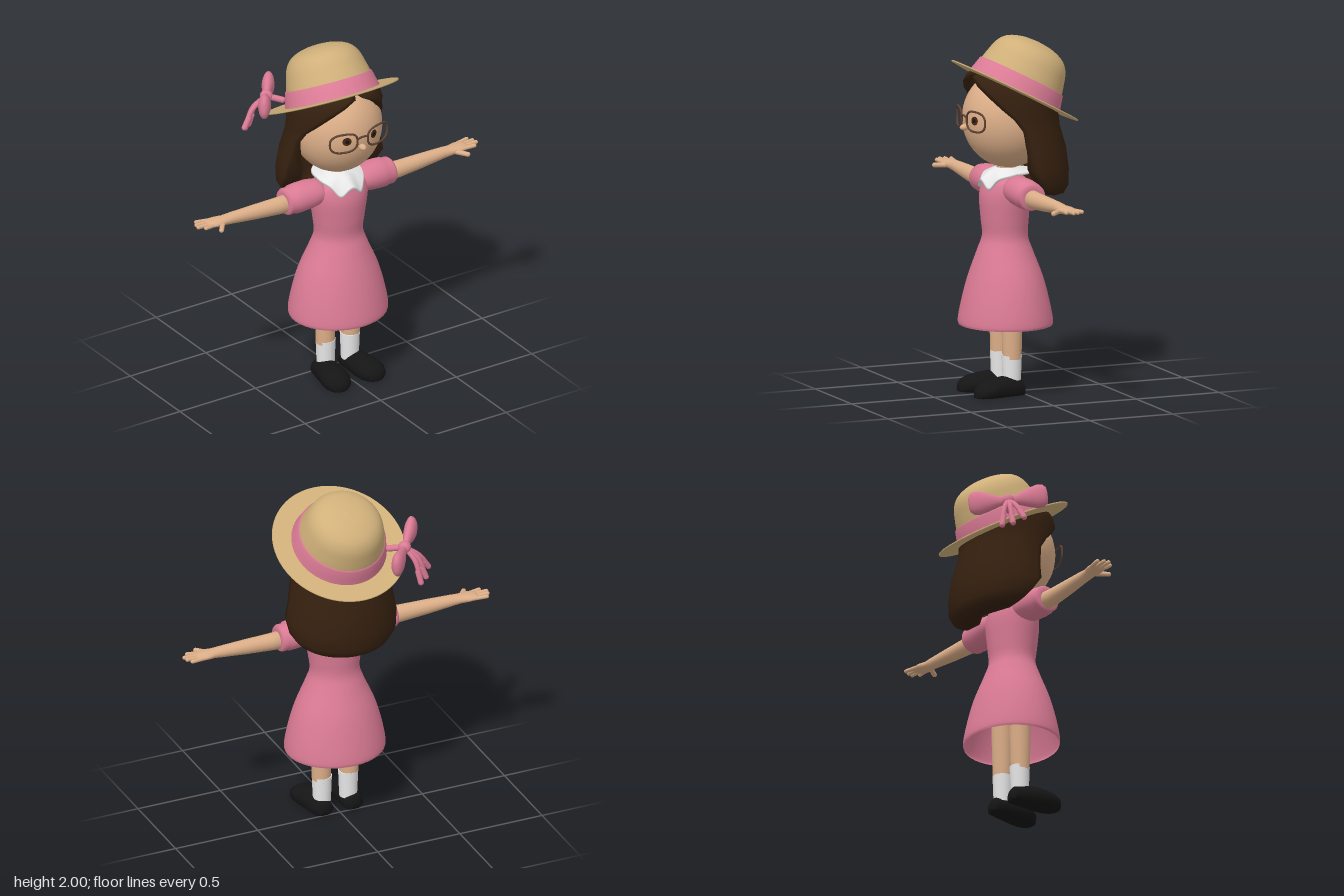
import * as THREE from 'three';

const mat = (name, color, side = THREE.FrontSide) => {
  const m = new THREE.MeshStandardMaterial({ color, side });
  m.name = name;
  return m;
};
const V = (x, y, z) => new THREE.Vector3(x, y, z);

// Skin a stack of closed rings (arrays of Vector3), optionally capping the ends.
function loft(rings, caps = true) {
  const n = rings[0].length, pts = rings.flat(), idx = [];
  for (let i = 0; i < rings.length - 1; i++) {
    for (let j = 0; j < n; j++) {
      const k = (j + 1) % n, a = i * n + j, b = i * n + k, c = a + n, d = b + n;
      idx.push(a, b, c, b, d, c);
    }
  }
  if (caps) {
    [[0, true], [rings.length - 1, false]].forEach(([r, flip]) => {
      const centre = rings[r].reduce((s, p) => s.add(p), V(0, 0, 0)).divideScalar(n);
      const ci = pts.push(centre) - 1;
      for (let j = 0; j < n; j++) {
        const a = r * n + j, b = r * n + (j + 1) % n;
        flip ? idx.push(ci, b, a) : idx.push(ci, a, b);
      }
    });
  }
  const g = new THREE.BufferGeometry().setFromPoints(pts);
  g.setIndex(idx);
  g.computeVertexNormals();
  return g;
}

const ring = (n, f) => Array.from({ length: n }, (_, j) => f(j / n * Math.PI * 2));

// Rows of [y, rx, centreZ, rz] stacked upwards, smoothed between rows.
function upright(rows, steps) {
  const a = new THREE.CatmullRomCurve3(rows.map(r => V(r[1], r[0], r[2])));
  const b = new THREE.CatmullRomCurve3(rows.map(r => V(r[3], r[0], 0)));
  return Array.from({ length: steps + 1 }, (_, i) => {
    const p = a.getPoint(i / steps), q = b.getPoint(i / steps);
    return ring(40, t => V(p.x * Math.sin(t), p.y, p.z + q.x * Math.cos(t)));
  });
}

// Rows of [x, centreY, centreZ, ry, rz] running along +x.
const sideways = rows => loft(rows.map(([x, y, z, ry, rz]) =>
  ring(24, t => V(x, y + ry * Math.cos(t), z + rz * Math.sin(t)))));

// Mirrored copy across x = 0 with the winding kept outward.
function mirrorX(geo) {
  const g = geo.clone().scale(-1, 1, 1), ix = g.index.array;
  for (let i = 0; i < ix.length; i += 3) [ix[i], ix[i + 1]] = [ix[i + 1], ix[i]];
  g.computeVertexNormals();
  return g;
}

// Capsule from p to q.
function capsule(p, q, r) {
  const d = q.clone().sub(p), g = new THREE.CapsuleGeometry(r, d.length(), 6, 12);
  g.applyQuaternion(new THREE.Quaternion().setFromUnitVectors(V(0, 1, 0), d.normalize()));
  const m = p.clone().add(q).multiplyScalar(0.5);
  return g.translate(m.x, m.y, m.z);
}

const ball = (x, y, z, rx, ry, rz) =>
  new THREE.SphereGeometry(1, 40, 28).scale(rx, ry, rz).translate(x, y, z);

export function createModel() {
  const model = new THREE.Group();
  model.name = 'girlInSunHat';
  const skin = mat('skin', 0xdcae88), pink = mat('pinkCloth', 0xdb7b95, THREE.DoubleSide);
  const straw = mat('straw', 0xd0b07a), brown = mat('hairBrown', 0x35200f);
  const white = mat('white', 0xe9e9e9, THREE.DoubleSide), black = mat('shoeBlack', 0x151515);
  const frame = mat('glassesBrown', 0x5e4232), iris = mat('eyeBrown', 0x4a2613);
  const add = (name, geo, m, parent = model) => {
    const mesh = new THREE.Mesh(geo, m);
    mesh.name = name;
    parent.add(mesh);
    return mesh;
  };
  const pair = (name, geo, m, parent = model) => {
    add(name + 'Left', geo, m, parent);
    add(name + 'Right', mirrorX(geo), m, parent);
  };

  // Dress, open at the hem
  add('dress', loft(upright([
    [0.385, 0.282, 0.07, 0.257], [0.4, 0.286, 0.07, 0.26], [0.5, 0.272, 0.07, 0.243], [0.65, 0.232, 0.07, 0.205],
    [0.8, 0.168, 0.073, 0.152], [0.88, 0.142, 0.073, 0.125], [0.98, 0.152, 0.075, 0.13], [1.1, 0.172, 0.075, 0.135],
    [1.16, 0.176, 0.072, 0.125], [1.2, 0.155, 0.07, 0.11], [1.235, 0.08, 0.065, 0.065],
  ], 44), false), pink);
  add('underwear', ball(0, 0.62, 0.067, 0.13, 0.08, 0.1), white);

  // Puffed sleeves with a cuff
  pair('sleeve', sideways([
    [0.1, 1.16, 0.065, 0.06, 0.075], [0.15, 1.16, 0.065, 0.072, 0.085], [0.2, 1.158, 0.065, 0.081, 0.09],
    [0.26, 1.155, 0.064, 0.084, 0.088], [0.3, 1.152, 0.062, 0.082, 0.086], [0.31, 1.15, 0.06, 0.075, 0.08],
    [0.34, 1.149, 0.06, 0.077, 0.081], [0.352, 1.148, 0.06, 0.07, 0.074], [0.352, 1.148, 0.06, 0.05, 0.05],
  ]), pink);

  // Arms, hands and fingers
  pair('arm', sideways([
    [0.3, 1.138, 0.06, 0.054, 0.05], [0.4, 1.138, 0.06, 0.049, 0.046], [0.55, 1.143, 0.058, 0.042, 0.041],
    [0.7, 1.149, 0.055, 0.032, 0.035], [0.75, 1.15, 0.055, 0.026, 0.037], [0.79, 1.152, 0.053, 0.023, 0.048],
    [0.835, 1.153, 0.05, 0.018, 0.048], [0.855, 1.153, 0.05, 0.01, 0.036],
  ]), skin);
  [[0.014, 0.003, 0.895], [0.038, 0.034, 0.913], [0.062, 0.062, 0.918], [0.084, 0.093, 0.888]].forEach(([z0, z1, x], i) =>
    pair('finger' + (i + 1), capsule(V(0.825, 1.153, z0), V(x, 1.156, z1), 0.0115), skin));
  pair('thumb', capsule(V(0.765, 1.147, 0.075), V(0.815, 1.142, 0.138), 0.014), skin);

  // Legs, socks and shoes
  pair('leg', new THREE.CylinderGeometry(0.064, 0.053, 0.45, 28).translate(0.083, 0.425, 0.067), skin);
  pair('sock', new THREE.CylinderGeometry(0.056, 0.05, 0.16, 28).translate(0.08, 0.14, 0.067), white);
  const shoeRows = [[0, 0.03, 0.06], [0.015, 0.055, 0.082], [0.08, 0.066, 0.1], [0.13, 0.073, 0.108], [0.19, 0.083, 0.1],
    [0.24, 0.082, 0.088], [0.275, 0.066, 0.07], [0.295, 0.04, 0.05], [0.302, 0.015, 0.03]];
  pair('shoe', loft(shoeRows.map(([z, w, h]) => ring(28, t => {
    const s = Math.sin(t);
    return V(0.09 + z * 0.09 + w * Math.cos(t), h * 0.4 + (s > 0 ? h * 0.6 * s : h * 0.4 * Math.max(-1, 1.8 * s)), z);
  }))), black);

  // Scalloped collar with two front points
  const edge = t => {
    const a = Math.abs(t > Math.PI ? t - 2 * Math.PI : t);
    return 1.237 - 0.036 * Math.max(0, Math.cos(t)) - 0.052 * Math.exp(-(((a - 0.5) / 0.27) ** 2));
  };
  const collarRing = (rx, rz, y) => ring(64, t => V(rx * Math.sin(t), y(t), 0.065 + rz * Math.cos(t)));
  add('collar', loft([
    collarRing(0.125, 0.135, t => edge(t) - 0.004), collarRing(0.142, 0.158, edge), collarRing(0.138, 0.152, t => edge(t) + 0.012),
    collarRing(0.1, 0.105, () => 1.247), collarRing(0.055, 0.055, () => 1.266),
  ], false), white);

  // Head, neck and nose
  add('neck', new THREE.CylinderGeometry(0.05, 0.055, 0.14, 24).translate(0, 1.25, 0.06), skin);
  add('head', ball(0, 1.54, 0.05, 0.255, 0.275, 0.26), skin);
  add('nose', ball(0, 1.505, 0.317, 0.019, 0.018, 0.028), skin);

  // Eyes as thin discs following the face
  const faceZ = (x, y) => 0.05 + 0.26 * Math.sqrt(1 - (x / 0.255) ** 2 - ((y - 1.54) / 0.275) ** 2);
  const disc = (r, lift) => {
    const g = new THREE.CircleGeometry(r, 24).translate(0.088, 1.553, 0), p = g.attributes.position;
    for (let i = 0; i < p.count; i++) p.setZ(i, faceZ(p.getX(i), p.getY(i)) + lift);
    g.computeVertexNormals();
    return g;
  };
  pair('iris', disc(0.024, 0.003), iris);
  pair('pupil', disc(0.012, 0.006), black);

  // Glasses
  const rim = ring(32, t => {
    const c = Math.cos(t), s = Math.sin(t), x = 0.112 + 0.078 * Math.sign(c) * Math.abs(c) ** 0.75;
    return V(x, 1.552 + 0.056 * Math.sign(s) * Math.abs(s) ** 0.75, 0.32 - 1.2 * x * x);
  });
  pair('glassesRim', new THREE.TubeGeometry(new THREE.CatmullRomCurve3(rim, true), 64, 0.006, 8, true), frame);
  add('glassesBridge', new THREE.TubeGeometry(new THREE.CatmullRomCurve3(
    [V(-0.036, 1.563, 0.318), V(0, 1.574, 0.324), V(0.036, 1.563, 0.318)]), 12, 0.006, 8), frame);

  // Hair: shell open at the face; rows of [y, rx, centreZ, rz, half-sweep in degrees, inner scale, slope]
  const hairRows = [
    [1.155, 0.24, -0.03, 0.18, 82, 0.6, 0.25], [1.172, 0.285, -0.02, 0.23, 85, 0.6, 0.23], [1.21, 0.312, -0.01, 0.268, 90, 0.62, 0.18],
    [1.28, 0.32, 0, 0.28, 99, 0.66, 0.1], [1.38, 0.3, 0, 0.265, 101, 0.78, 0], [1.5, 0.276, 0.02, 0.25, 103, 0.86, 0],
    [1.57, 0.27, 0.03, 0.255, 112, 0.88, 0], [1.63, 0.267, 0.033, 0.265, 126, 0.88, 0], [1.7, 0.262, 0.035, 0.275, 142, 0.86, 0],
    [1.75, 0.245, 0.035, 0.27, 157, 0.86, 0], [1.79, 0.215, 0.05, 0.235, 174, 0.86, 0], [1.812, 0.15, 0.06, 0.18, 179, 0.8, 0],
    [1.82, 0.03, 0.06, 0.03, 179, 0.5, 0],
  ];
  add('hair', loft(hairRows.map(([y, rx, cz, rz, sweep, inner, slope]) => {
    const n = 36, A = sweep * Math.PI / 180, pts = [];
    for (let j = 0; j < 2 * n; j++) {
      const out = j < n, u = (out ? j : 2 * n - 1 - j) / (n - 1), phi = Math.PI - A + 2 * A * u, k = out ? 1 : inner;
      const z = cz + rz * k * Math.cos(phi);
      pts.push(V(rx * k * Math.sin(phi), y + slope * z, z));
    }
    return pts;
  })), brown);

  // Sun hat, tipped back
  const hat = new THREE.Group();
  hat.name = 'hat';
  hat.position.set(0, 1.685, 0.015);
  hat.rotation.x = -0.487;
  hat.scale.x = 0.965;
  model.add(hat);
  const lathe = pts => new THREE.LatheGeometry(pts.map(p => new THREE.Vector2(...p)), 64);
  add('brim', lathe([[0.22, -0.004], [0.33, -0.006], [0.388, 0], [0.391, 0.005], [0.387, 0.009], [0.33, 0.004], [0.22, 0.006]]), straw, hat);
  const crown = new THREE.SplineCurve([[0.268, 0], [0.25, 0.08], [0.236, 0.14], [0.212, 0.215], [0.168, 0.265], [0.09, 0.295], [0, 0.304]]
    .map(p => new THREE.Vector2(...p)));
  add('crown', new THREE.LatheGeometry(crown.getPoints(28), 64), straw, hat);
  add('hatBand', lathe([[0.278, 0.004], [0.268, 0.04], [0.256, 0.09], [0.246, 0.096]]), pink, hat);

  // Bow on the side of the hat
  const bow = new THREE.Group();
  bow.name = 'bow';
  bow.position.set(-0.31, 1.695, -0.18);
  bow.rotation.set(0, Math.atan2(-0.8, -0.6), 0.12);
  model.add(bow);
  pair('bowLoop', sideways([[0.01, 0, 0, 0.02, 0.015], [0.05, 0, 0, 0.03, 0.021], [0.11, 0.002, 0, 0.054, 0.032],
    [0.16, 0.004, 0, 0.07, 0.036], [0.195, 0.005, 0, 0.068, 0.032], [0.215, 0.005, 0, 0.05, 0.02], [0.22, 0.005, 0, 0.025, 0.008]]), pink, bow);
  add('bowKnot', ball(0, 0, 0, 0.036, 0.036, 0.036), pink, bow);
  add('bowStay', capsule(V(0, 0, 0), V(0, -0.02, -0.09), 0.018), pink, bow);
  [[0.07, -0.165, 0.115], [0.005, -0.19, 0.115], [-0.055, -0.19, 0.1]].forEach(([x, y, z], i) => {
    const knee = V(x * 0.5, -0.07, z * 0.65);
    add('bowTail' + (i + 1), new THREE.TubeGeometry(new THREE.CatmullRomCurve3([V(0, 0, 0), knee, V(x, y, z)]), 16, 0.014, 10), pink, bow);
    add('bowTailEnd' + (i + 1), capsule(knee.clone().lerp(V(x, y, z), 0.5), V(x, y, z), 0.0165), pink, bow);
  });
  return model;
}
